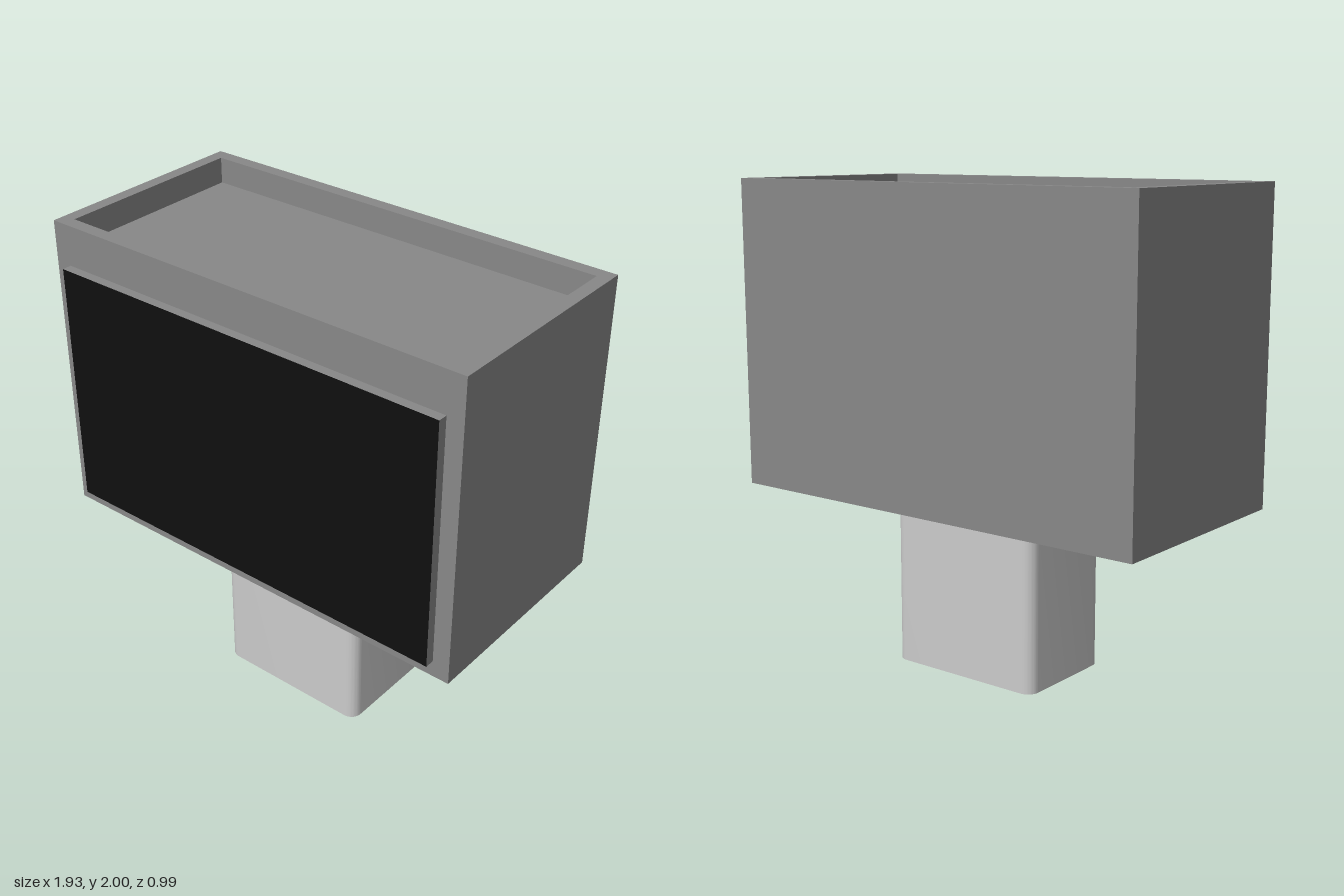
import * as THREE from 'three';
import { toCreasedNormals } from 'three/addons/utils/BufferGeometryUtils.js';

// Flat-faced shell through rectangular rings [halfWidth, halfDepth, y], in order from the underside
function rectLoft(rings) {
  const signs = [[1, 1], [1, -1], [-1, -1], [-1, 1]];
  const corner = ([w, d, y], k) => [signs[k % 4][0] * w, y, signs[k % 4][1] * d];
  const pos = [];
  for (let i = 0; i < rings.length - 1; i++) {
    for (let k = 0; k < 4; k++) {
      const a = corner(rings[i], k), b = corner(rings[i], k + 1);
      const c = corner(rings[i + 1], k + 1), d = corner(rings[i + 1], k);
      pos.push(...a, ...b, ...c, ...a, ...c, ...d);
    }
  }
  const geo = new THREE.BufferGeometry();
  geo.setAttribute('position', new THREE.Float32BufferAttribute(pos, 3));
  geo.computeVertexNormals();
  return geo;
}

// Rectangle outline with rounded corners
function roundedRect(w, d, r) {
  const x = w / 2 - r, y = d / 2 - r;
  const s = new THREE.Shape();
  s.absarc(x, y, r, 0, Math.PI / 2);
  s.absarc(-x, y, r, Math.PI / 2, Math.PI);
  s.absarc(-x, -y, r, Math.PI, Math.PI * 1.5);
  s.absarc(x, -y, r, Math.PI * 1.5, Math.PI * 2);
  s.closePath();
  return s;
}

export function createModel() {
  const group = new THREE.Group();
  const pale = new THREE.MeshStandardMaterial({ color: 0xcccccc });
  const grey = new THREE.MeshStandardMaterial({ color: 0x888888 });
  const black = new THREE.MeshStandardMaterial({ color: 0x101010 });
  const add = (name, geo, mat, x, y, z) => {
    const mesh = new THREE.Mesh(geo, mat);
    mesh.name = name;
    mesh.position.set(x, y, z);
    group.add(mesh);
  };

  // Pedestal: upright block with softly rounded vertical edges
  const post = new THREE.ExtrudeGeometry(roundedRect(0.705, 0.48, 0.05),
    { depth: 0.715, bevelEnabled: false, curveSegments: 8 });
  post.rotateX(-Math.PI / 2);
  add('pedestal', toCreasedNormals(post, Math.PI / 5), pale, 0, 0, -0.02);

  // Housing: box with a shallow open tray sunk into its top
  add('housing', rectLoft([
    [0, 0, 0.715], [0.965, 0.475, 0.715], [0.965, 0.475, 2],
    [0.91, 0.418, 2], [0.91, 0.418, 1.89], [0, 0, 1.89],
  ]), grey, 0, 0, -0.02);

  // Screen: thin panel with a black front face
  add('screen', new THREE.BoxGeometry(1.786, 1.045, 0.04),
    [grey, grey, grey, grey, black, grey], 0, 1.307, 0.475);

  return group;
}
